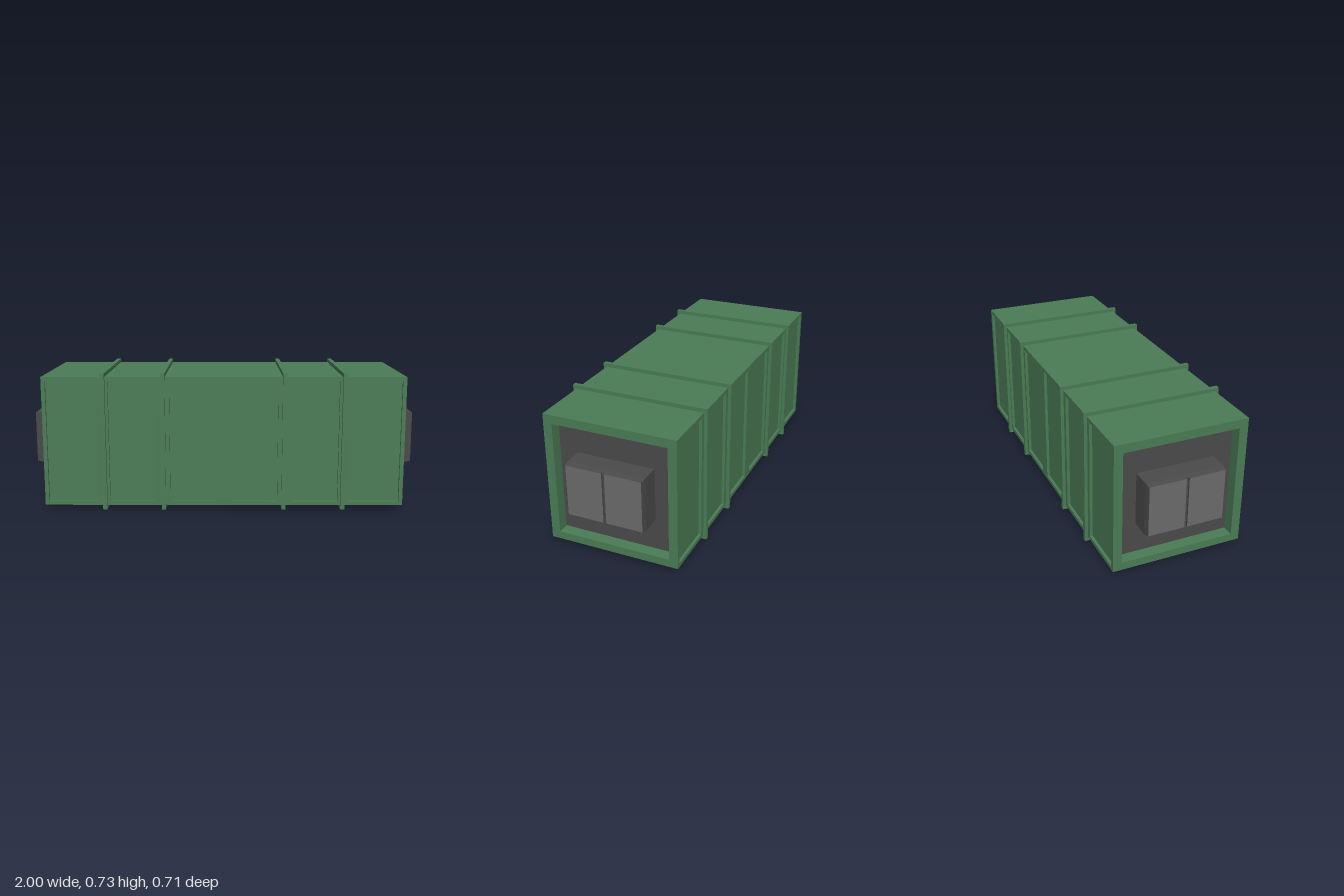
import * as THREE from 'three';

const paint = (color) => new THREE.MeshStandardMaterial({ color, flatShading: true });
const green = paint(0x4a7c55);
const dark = paint(0x4a4a4a);
const light = paint(0x6b6b6b);

function add(parent, name, geometry, material) {
  const mesh = new THREE.Mesh(geometry, material);
  mesh.name = name;
  parent.add(mesh);
  return mesh;
}

const outline = (pts) => pts.map(([x, y]) => new THREE.Vector2(x, y));
const rect = (x0, x1, y0, y1) => outline([[x0, y0], [x1, y0], [x1, y1], [x0, y1]]);

// Flat frame with holes, extruded and centred on its depth
function frame(points, holes, depth) {
  const shape = new THREE.Shape(points);
  holes.forEach((h) => shape.holes.push(new THREE.Path(h)));
  return new THREE.ExtrudeGeometry(shape, { depth, bevelEnabled: false }).translate(0, 0, -depth / 2);
}

// Block along x between two cross-sections [z0, z1, y0, y1]
function taper(x0, x1, a, b) {
  const geo = new THREE.BoxGeometry(1, 1, 1);
  const p = geo.attributes.position;
  for (let i = 0; i < p.count; i++) {
    const outer = p.getX(i) > 0;
    const s = outer ? b : a;
    p.setXYZ(i, outer ? x1 : x0, s[p.getY(i) > 0 ? 3 : 2], s[p.getZ(i) > 0 ? 1 : 0]);
  }
  geo.computeVertexNormals();
  return geo;
}

export function createModel() {
  const model = new THREE.Group();
  model.name = 'container';
  const HALF = 0.935;

  // Hollow shell, open at both ends
  const shell = frame(rect(-0.325, 0.325, 0.03, 0.705), [rect(-0.295, 0.295, 0.07, 0.66)], HALF * 2);
  add(model, 'shell', shell.rotateY(Math.PI / 2), green);

  // Side frames that leave six sunken panels each
  const spans = [[0.035, 0.28], [0.35, 0.595], [0.655, 0.915]];
  const holes = spans.flatMap(([a, b]) => [rect(a, b, 0.05, 0.685), rect(-b, -a, 0.05, 0.685)]);
  const sideFrame = frame(rect(-HALF, HALF, 0.03, 0.705), holes, 0.015);
  for (const side of [1, -1]) {
    add(model, side > 0 ? 'frontFrame' : 'backFrame', sideFrame, green).position.z = side * 0.3325;
  }

  // Raised ribs around the body, with a slightly pointed underside
  const ribOutline = outline([[-0.357, 0.01], [0, 0], [0.357, 0.01], [0.357, 0.725], [-0.357, 0.725]]);
  const rib = frame(ribOutline, [rect(-0.32, 0.32, 0.035, 0.7)], 0.022).rotateY(Math.PI / 2);
  for (const x of [-0.62, -0.313, 0.313, 0.62]) add(model, 'rib', rib, green).position.x = x;

  // Recessed bulkhead and protruding twin-panel unit at each end
  for (const side of [1, -1]) {
    const end = new THREE.Group();
    end.name = side > 0 ? 'leftEnd' : 'rightEnd';
    const wall = [-0.295, 0.295, 0.07, 0.66];
    add(end, 'bulkhead', taper(0.855, 0.875, wall, wall), dark);

    const base = [-0.2, 0.2, 0.229, 0.503];
    const mid = [-0.196, 0.196, 0.233, 0.499];
    add(end, 'unitBody', taper(0.87, 0.967, base, base), dark);
    add(end, 'unitBevel', taper(0.967, 0.99, base, mid), dark);
    const faceMaterials = [light, dark, dark, dark, dark, dark];
    add(end, 'unitPanel', taper(0.99, 1, [0.007, 0.196, 0.233, 0.499], [0.007, 0.194, 0.235, 0.497]), faceMaterials);
    add(end, 'unitPanel', taper(0.99, 1, [-0.196, -0.007, 0.233, 0.499], [-0.194, -0.007, 0.235, 0.497]), faceMaterials);

    if (side < 0) end.rotation.y = Math.PI;
    model.add(end);
  }
  return model;
}
